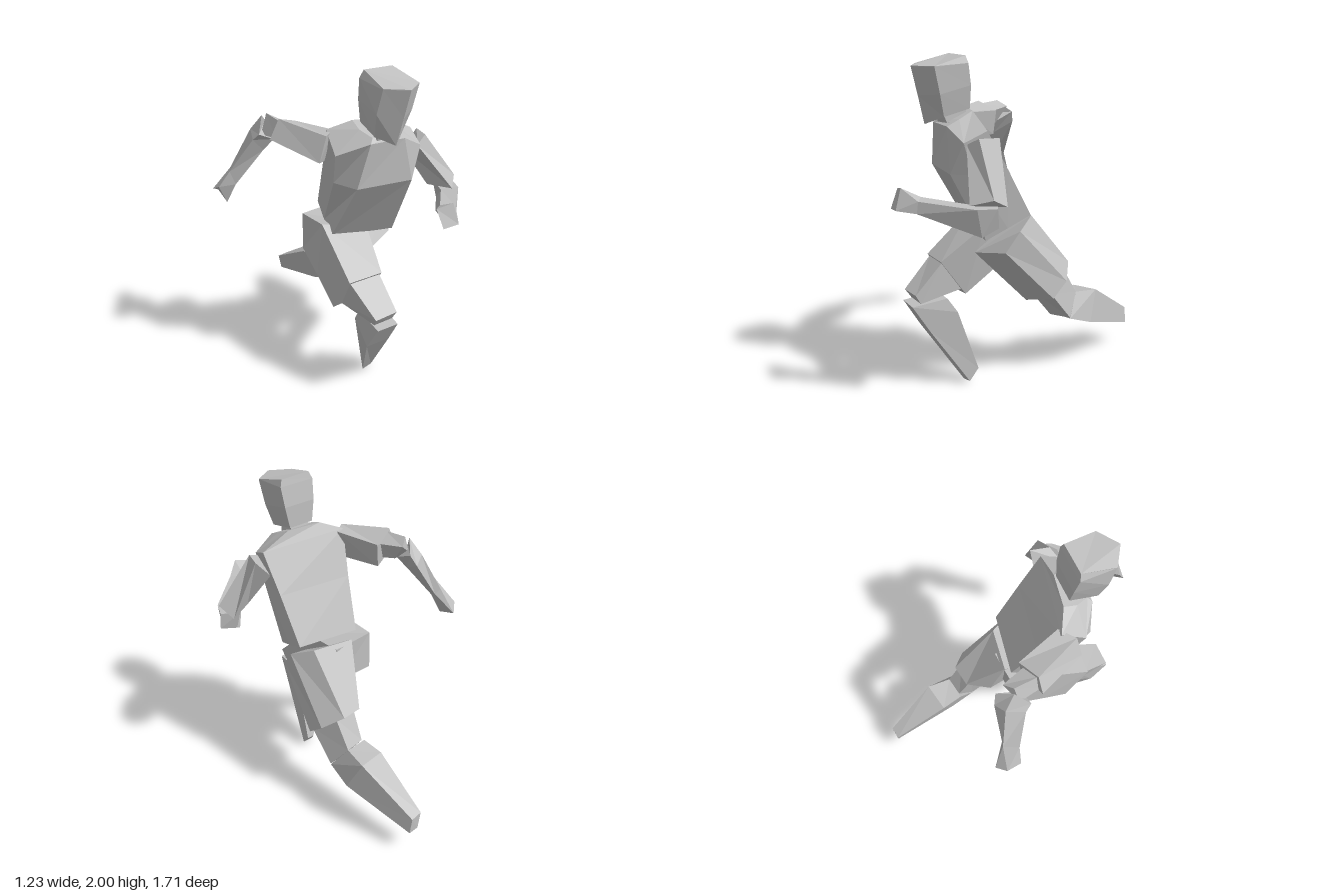
import * as THREE from 'three';

const grey = new THREE.MeshStandardMaterial({ color: 0xc0c0c0, flatShading: true });
grey.name = 'plain grey';

// Closed faceted solid through a series of cross-section rings with equal corner counts.
function loft(name, rings) {
  const tris = [];
  const n = rings[0].length;
  for (let r = 0; r < rings.length - 1; r++) {
    for (let i = 0; i < n; i++) {
      const j = (i + 1) % n;
      const a = rings[r][i], b = rings[r][j], c = rings[r + 1][j], d = rings[r + 1][i];
      tris.push([a, b, c], [a, c, d]);
    }
  }
  const first = rings[0], last = rings[rings.length - 1];
  for (let i = 1; i < n - 1; i++) {
    tris.push([first[0], first[i + 1], first[i]], [last[0], last[i], last[i + 1]]);
  }
  // Signed volume tells whether the corners run outward; reverse them if not.
  const v = tris.map(t => t.map(p => new THREE.Vector3(...p)));
  const o = v[0][0];
  const volume = v.reduce((s, [a, b, c]) =>
    s + a.clone().sub(o).dot(b.clone().sub(o).cross(c.clone().sub(o))), 0);
  if (volume < 0) v.forEach(t => t.reverse());
  const geometry = new THREE.BufferGeometry().setFromPoints(v.flat());
  geometry.computeVertexNormals();
  const mesh = new THREE.Mesh(geometry, grey);
  mesh.name = name;
  return mesh;
}

export function createModel() {
  const model = new THREE.Group();
  model.name = 'runningFigure';
  const add = (name, ...rings) => model.add(loft(name, rings));

  // Head: five-sided, with a ridge down the face
  add('head',
    [[-0.02, 1.70, 0.325], [0.14, 1.70, 0.325], [0.145, 1.665, 0.49], [0.045, 1.62, 0.56], [-0.045, 1.665, 0.49]],
    [[-0.04, 1.83, 0.33], [0.165, 1.83, 0.33], [0.172, 1.79, 0.525], [0.055, 1.78, 0.60], [-0.065, 1.80, 0.525]],
    [[-0.05, 1.95, 0.35], [0.175, 1.95, 0.35], [0.183, 1.935, 0.56], [0.062, 1.937, 0.64], [-0.055, 1.94, 0.56]],
    [[-0.03, 1.995, 0.36], [0.16, 1.99, 0.36], [0.183, 1.94, 0.56], [0.062, 1.94, 0.64], [-0.055, 1.945, 0.56]]);
  add('neck',
    [[0.0, 1.58, 0.44], [0.12, 1.58, 0.44], [0.13, 1.60, 0.32], [-0.01, 1.60, 0.32]],
    [[0.0, 1.70, 0.48], [0.10, 1.70, 0.48], [0.12, 1.73, 0.35], [0.0, 1.73, 0.35]]);

  // Torso: corners run front right, front left, side left, back left, back right, side right
  add('torso',
    [[-0.13, 0.975, 0.21], [0.257, 0.957, 0.30], [0.29, 1.02, 0.17], [0.315, 1.085, 0.03], [-0.06, 1.09, -0.04], [-0.10, 1.03, 0.09]],
    [[-0.115, 1.36, 0.44], [0.22, 1.36, 0.50], [0.295, 1.36, 0.40], [0.325, 1.37, 0.19], [-0.115, 1.39, 0.10], [-0.17, 1.36, 0.29]],
    [[-0.045, 1.615, 0.46], [0.167, 1.615, 0.485], [0.305, 1.54, 0.46], [0.335, 1.60, 0.33], [-0.165, 1.65, 0.21], [-0.20, 1.545, 0.35]],
    [[-0.02, 1.64, 0.44], [0.14, 1.63, 0.45], [0.17, 1.65, 0.41], [0.16, 1.69, 0.32], [-0.04, 1.70, 0.28], [-0.05, 1.67, 0.36]]);

  // Left arm, bent forward across the body
  add('leftUpperArm',
    [[0.30, 1.53, 0.44], [0.38, 1.57, 0.41], [0.41, 1.57, 0.30], [0.32, 1.46, 0.29]],
    [[0.50, 1.25, 0.54], [0.595, 1.285, 0.45], [0.56, 1.23, 0.345], [0.42, 1.25, 0.41]]);
  add('leftForearm',
    [[0.50, 1.24, 0.37], [0.60, 1.24, 0.43], [0.61, 1.14, 0.43], [0.52, 1.13, 0.39]],
    [[0.45, 1.24, 0.50], [0.56, 1.24, 0.53], [0.555, 1.085, 0.50], [0.465, 1.08, 0.45]],
    [[0.26, 1.27, 0.70], [0.33, 1.265, 0.75], [0.33, 1.20, 0.76], [0.27, 1.19, 0.71]],
    [[0.155, 1.31, 0.785], [0.25, 1.33, 0.81], [0.265, 1.215, 0.85], [0.17, 1.205, 0.835]]);

  // Right arm, swung back
  add('rightUpperArm',
    [[-0.265, 1.50, 0.295], [-0.21, 1.64, 0.28], [-0.12, 1.64, 0.21], [-0.17, 1.46, 0.20]],
    [[-0.395, 1.57, -0.01], [-0.335, 1.68, -0.01], [-0.20, 1.63, -0.06], [-0.22, 1.48, -0.05]]);
  add('rightElbow',
    [[-0.36, 1.57, 0.0], [-0.325, 1.66, 0.0], [-0.23, 1.62, -0.04], [-0.26, 1.52, -0.03]],
    [[-0.38, 1.56, -0.14], [-0.335, 1.675, -0.15], [-0.28, 1.64, -0.19], [-0.30, 1.53, -0.11]]);
  add('rightForearm',
    [[-0.42, 1.58, -0.09], [-0.36, 1.665, -0.16], [-0.295, 1.60, -0.24], [-0.32, 1.53, -0.10]],
    [[-0.44, 1.54, -0.13], [-0.40, 1.57, -0.23], [-0.33, 1.53, -0.265], [-0.37, 1.46, -0.14]],
    [[-0.555, 1.34, -0.22], [-0.51, 1.33, -0.30], [-0.475, 1.30, -0.29], [-0.52, 1.25, -0.22]],
    [[-0.62, 1.25, -0.24], [-0.62, 1.21, -0.325], [-0.565, 1.17, -0.375], [-0.565, 1.13, -0.26]]);

  // Right leg, lifted forward
  add('rightThigh',
    [[-0.165, 1.03, -0.05], [0.115, 1.03, -0.07], [0.10, 0.78, -0.06], [-0.16, 0.78, -0.06]],
    [[-0.16, 1.04, 0.16], [0.115, 1.0, 0.22], [0.07, 0.70, 0.13], [-0.18, 0.69, 0.13]],
    [[-0.17, 0.79, 0.46], [0.045, 0.80, 0.48], [0.05, 0.57, 0.32], [-0.18, 0.55, 0.31]]);
  add('rightKnee',
    [[-0.16, 0.78, 0.45], [0.035, 0.79, 0.47], [0.03, 0.60, 0.34], [-0.14, 0.58, 0.34]],
    [[-0.115, 0.615, 0.645], [0.035, 0.62, 0.645], [0.03, 0.56, 0.61], [-0.10, 0.56, 0.61]]);
  add('rightShin',
    [[-0.11, 0.55, 0.66], [0.03, 0.55, 0.665], [0.06, 0.57, 0.45], [-0.09, 0.57, 0.45]],
    [[-0.11, 0.38, 0.56], [0.05, 0.38, 0.565], [0.085, 0.48, 0.395], [-0.08, 0.48, 0.395]],
    [[0.035, 0.0, 0.335], [0.105, 0.01, 0.33], [0.11, 0.085, 0.27], [0.06, 0.085, 0.27]]);

  // Left leg, stretched back
  add('leftThigh',
    [[0.10, 0.84, 0.28], [0.315, 0.88, 0.20], [0.33, 1.0, 0.11], [0.25, 1.06, -0.02], [-0.01, 1.05, -0.06], [0.0, 0.90, 0.12]],
    [[0.167, 0.49, -0.045], [0.365, 0.55, -0.11], [0.355, 0.64, -0.215], [0.25, 0.72, -0.305], [0.115, 0.71, -0.285], [0.06, 0.60, -0.14]]);
  add('leftKnee',
    [[0.14, 0.55, -0.08], [0.345, 0.57, -0.11], [0.27, 0.69, -0.25], [0.13, 0.68, -0.25]],
    [[0.165, 0.35, -0.235], [0.33, 0.375, -0.27], [0.265, 0.51, -0.36], [0.14, 0.51, -0.34]]);
  add('leftShin',
    [[0.16, 0.36, -0.24], [0.33, 0.37, -0.27], [0.265, 0.51, -0.36], [0.12, 0.50, -0.34]],
    [[0.15, 0.285, -0.40], [0.335, 0.31, -0.43], [0.28, 0.50, -0.51], [0.10, 0.48, -0.475]],
    [[0.13, 0.155, -0.85], [0.20, 0.16, -0.855], [0.185, 0.265, -0.855], [0.106, 0.265, -0.845]]);

  return model;
}
